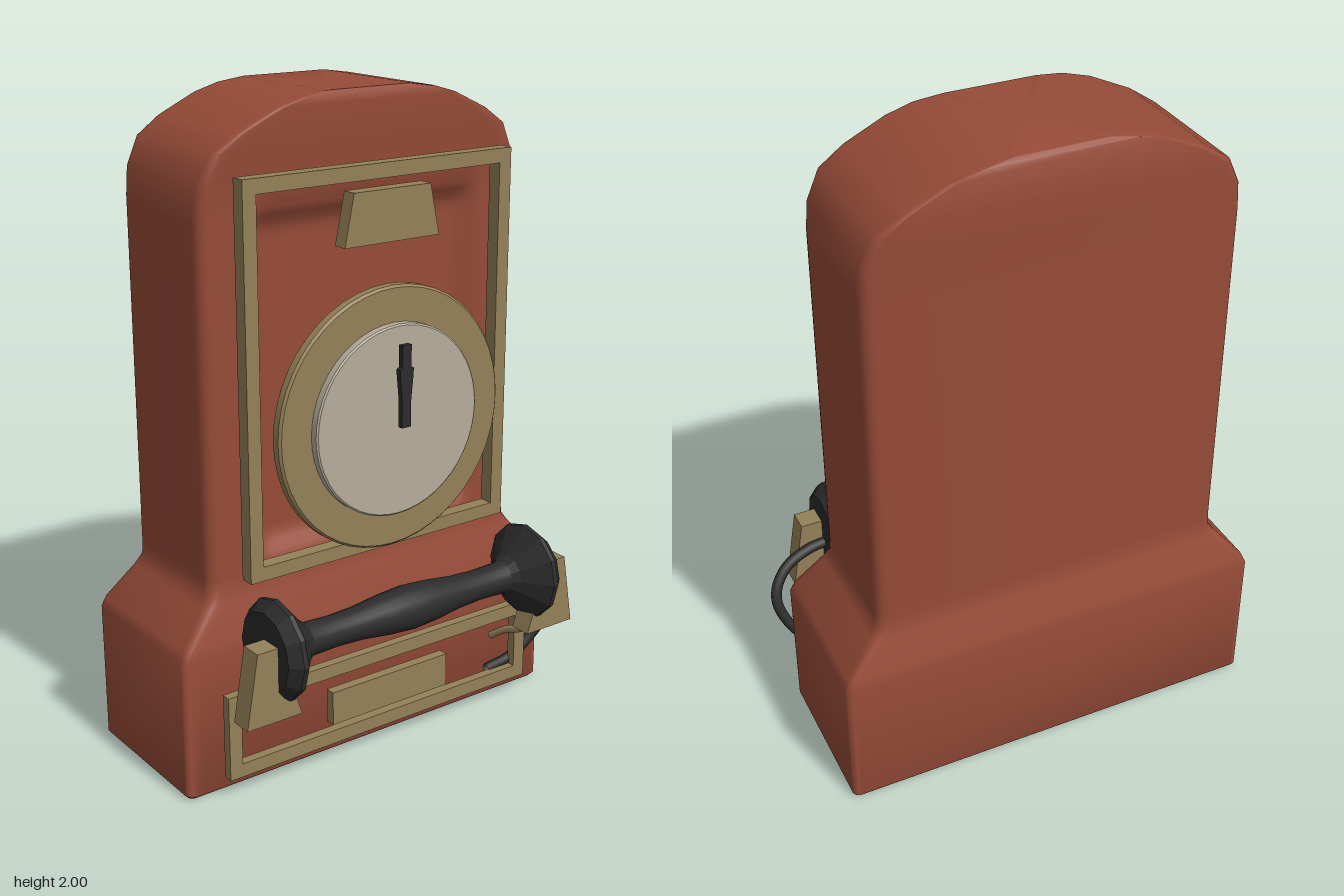
import * as THREE from 'three';
import { toCreasedNormals } from 'three/addons/utils/BufferGeometryUtils.js';

const CX = -0.018; // centre line of the case
const mat = (name, color, side = THREE.FrontSide) => {
  const m = new THREE.MeshStandardMaterial({ color, side });
  m.name = name;
  return m;
};

// Case: rounded-rectangle rings stacked in y, with a shallow recess in the front
function caseGeometry() {
  // y, half width, back z, front z, corner radius
  const keys = [
    [0, 0.665, -0.395, 0.095, 0.02], [0.012, 0.675, -0.405, 0.105, 0.02],
    [0.44, 0.675, -0.405, 0.105, 0.02], [0.47, 0.662, -0.4, 0.1, 0.022],
    [0.57, 0.575, -0.368, 0.07, 0.03], [0.6, 0.557, -0.362, 0.062, 0.035],
    [0.64, 0.555, -0.36, 0.058, 0.035], [1.7, 0.555, -0.36, 0.058, 0.035],
    [1.78, 0.545, -0.363, 0.064, 0.03], [1.86, 0.505, -0.367, 0.07, 0.025],
    [1.91, 0.43, -0.37, 0.074, 0.02], [1.965, 0.31, -0.37, 0.075, 0.015],
    [1.988, 0.23, -0.37, 0.075, 0.015], [2, 0.15, -0.36, 0.065, 0.015],
  ];
  const rows = [];
  keys.forEach((k, i) => {
    rows.push(k);
    if (k[0] === 0.64) for (let n = 1; n < 44; n++) {
      rows.push(k.map((v, c) => v + (keys[i + 1][c] - v) * n / 44));
    }
  });
  const ss = THREE.MathUtils.smoothstep;
  const recess = (x, y) => 0.04 * ss(0.42 - Math.abs(x), 0, 0.08) *
    ss(1.71 - y, 0, 0.08) * ss(y - 0.66, 0, 0.08);
  const pos = [], idx = [];
  let cols = 0;
  for (const [y, w, zb, zf, r] of rows) {
    const ring = [];
    for (let i = 0; i <= 40; i++) {
      const x = (i / 20 - 1) * (w - r);
      ring.push([x, zf - recess(x, y)]);
    }
    const arc = (cx, cz, a0, from, to) => {
      for (let k = from; k <= to; k++) {
        const a = a0 - k * Math.PI / 8;
        ring.push([cx + r * Math.cos(a), cz + r * Math.sin(a)]);
      }
    };
    arc(w - r, zf - r, Math.PI / 2, 1, 4);
    arc(w - r, zb + r, 0, 0, 4);
    arc(r - w, zb + r, -Math.PI / 2, 0, 4);
    arc(r - w, zf - r, Math.PI, 0, 3);
    cols = ring.length;
    ring.forEach(([x, z]) => pos.push(x + CX, y, z));
  }
  const n = rows.length, bottom = n * cols, top = bottom + 1;
  pos.push(CX, 0, -0.15, CX, 2, -0.15);
  for (let j = 0; j < cols; j++) {
    const k = (j + 1) % cols;
    for (let i = 0; i < n - 1; i++) {
      const a = i * cols + j, b = i * cols + k;
      idx.push(a, b, b + cols, a, b + cols, a + cols);
    }
    idx.push(bottom, k, j, top, (n - 1) * cols + j, (n - 1) * cols + k);
  }
  const g = new THREE.BufferGeometry();
  g.setAttribute('position', new THREE.Float32BufferAttribute(pos, 3));
  g.setIndex(idx);
  return toCreasedNormals(g, 0.7);
}

// Flat plate from an outline, from z0 to z1, with an optional hole
function plate(points, z0, z1, hole) {
  const shape = new THREE.Shape(points.map(p => new THREE.Vector2(...p)));
  if (hole) shape.holes.push(new THREE.Path(hole.map(p => new THREE.Vector2(...p))));
  return new THREE.ExtrudeGeometry(shape, { depth: z1 - z0, bevelEnabled: false }).translate(0, 0, z0);
}
const rect = (x0, x1, y0, y1, b = 0) =>
  [[x0 + b, y0 + b], [x1 - b, y0 + b], [x1 - b, y1 - b], [x0 + b, y1 - b]];
const frame = (x0, x1, y0, y1, b, z0, z1) =>
  plate(rect(x0, x1, y0, y1), z0, z1, rect(x0, x1, y0, y1, b));

// Lathe around the x axis, or around the z axis
const lathe = (pts, sides) =>
  new THREE.LatheGeometry(pts.map(p => new THREE.Vector2(...p)), sides);
const tube = (pts, r, seg) => new THREE.TubeGeometry(
  new THREE.CatmullRomCurve3(pts.map(p => new THREE.Vector3(...p))), seg, r, 8);

export function createModel() {
  const model = new THREE.Group();
  model.name = 'wallTelephone';
  const red = mat('caseRed', 0x964b38);
  const brass = mat('brass', 0x958158);
  const ivory = mat('dialIvory', 0xb6ae9c);
  const black = mat('handsetBlack', 0x2b2b2b);
  const add = (name, geo, material, parent = model) => {
    const m = new THREE.Mesh(geo, material);
    m.name = name;
    parent.add(m);
    return m;
  };

  add('case', caseGeometry(), red);

  // Brass trim
  add('upperFrame', frame(-0.485, 0.447, 0.648, 1.8, 0.043, 0.095, 0.14), brass);
  add('lowerFrame', frame(-0.585, 0.545, 0.06, 0.327, 0.043, 0.133, 0.163), brass);
  add('namePlate', plate(rect(-0.237, 0.197, 0.14, 0.247), 0.155, 0.187), brass);
  add('topPlate', plate([[-0.185, 1.585], [0.145, 1.585], [0.113, 1.735], [-0.153, 1.735]], 0.135, 0.182), brass);

  // Dial: brass rim with an ivory face in front
  const dial = new THREE.Group();
  dial.name = 'dial';
  dial.position.set(CX, 1.065, 0);
  model.add(dial);
  const disc = (pts) => toCreasedNormals(lathe(pts, 48).rotateX(Math.PI / 2), 0.6);
  add('dialRim', disc([[0, 0.135], [0.36, 0.135], [0.36, 0.148], [0.39, 0.148], [0.395, 0.155],
    [0.395, 0.18], [0.388, 0.187], [0, 0.187]]), brass, dial);
  add('dialFace', disc([[0, 0.18], [0.288, 0.18], [0.288, 0.21], [0.283, 0.214], [0, 0.214]]), ivory, dial);

  // Pointer
  add('pointer', plate([[-0.016, -0.01], [0.016, -0.01], [0.016, 0.07], [0.024, 0.15], [0.024, 0.165],
    [0.016, 0.17], [0.016, 0.235], [-0.016, 0.235], [-0.016, 0.17], [-0.024, 0.165],
    [-0.024, 0.15], [-0.016, 0.07]], 0.232, 0.249), black, dial);

  // Handset: smooth grip with a faceted cup at each end
  const handset = new THREE.Group();
  handset.name = 'handset';
  handset.position.set(CX, 0.495, 0.26);
  model.add(handset);
  const grip = [[-0.4, 0.06], [-0.36, 0.05], [-0.27, 0.047], [-0.18, 0.051], [-0.09, 0.062], [0, 0.068],
    [0.09, 0.062], [0.18, 0.051], [0.27, 0.047], [0.36, 0.05], [0.4, 0.06]];
  add('grip', lathe(grip.map(([x, r]) => [r, x]), 20).rotateZ(-Math.PI / 2), black, handset);
  const cupProfile = [[0, 0.365], [0.05, 0.365], [0.07, 0.39], [0.15, 0.455], [0.15, 0.47], [0.12, 0.503], [0, 0.503]];
  for (const s of [-1, 1]) {
    const cup = toCreasedNormals(lathe(cupProfile, 12), 0.05);
    add(s > 0 ? 'leftCup' : 'rightCup', cup.rotateZ(-s * Math.PI / 2), black, handset);
  }

  // Cradle: a tapered holder and a bent prong on each side
  for (const s of [-1, 1]) {
    const side = s > 0 ? 'left' : 'right';
    const x = (v) => CX + s * v;
    const outline = [[x(0.425), 0.31], [x(0.608), 0.31], [x(0.57), 0.535], [x(0.5), 0.535]];
    add(side + 'Holder', plate(outline, 0.258, 0.328), brass);
    add(side + 'Prong', tube([[x(0.465), 0.325, 0.285], [x(0.455), 0.295, 0.26],
      [x(0.445), 0.27, 0.2], [x(0.43), 0.235, 0.15]], 0.012, 12), brass);
  }

  // Cord from the left cup to the base
  const cord = mat('cordBlack', 0x2b2b2b, THREE.DoubleSide);
  add('cord', tube([[0.46, 0.46, 0.25], [0.54, 0.45, 0.245], [0.62, 0.42, 0.228], [0.665, 0.37, 0.203],
    [0.675, 0.32, 0.182], [0.65, 0.25, 0.155], [0.59, 0.17, 0.135], [0.52, 0.12, 0.127],
    [0.42, 0.1, 0.122]], 0.017, 48), cord);
  return model;
}
